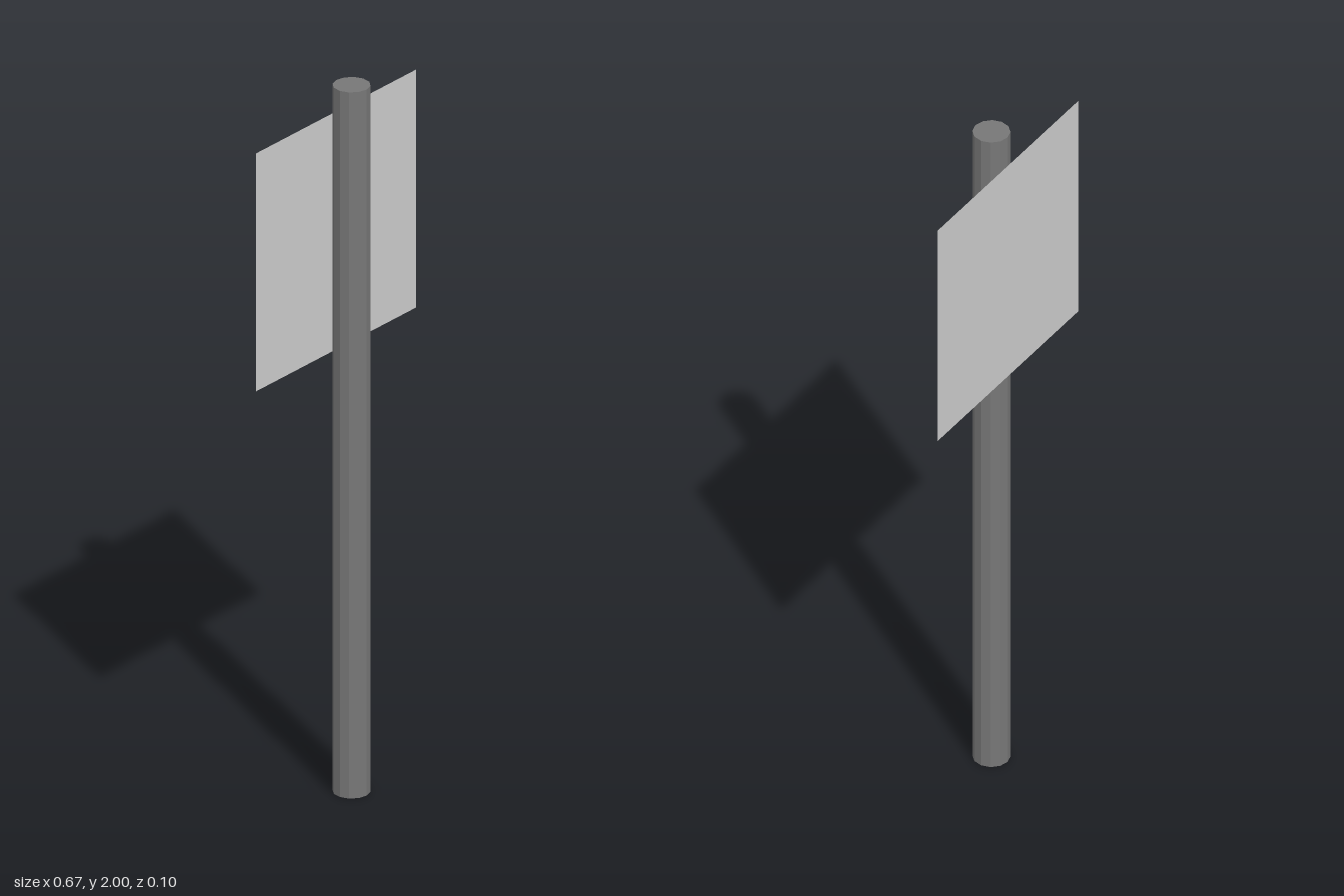
import * as THREE from 'three';

export function createModel() {
  const poleMetal = new THREE.MeshStandardMaterial({ color: 0x777777, side: THREE.DoubleSide, flatShading: true });
  poleMetal.name = 'pole metal';
  const signGrey = new THREE.MeshStandardMaterial({ color: 0xcccccc, side: THREE.DoubleSide });
  signGrey.name = 'sign grey';

  const group = new THREE.Group();
  group.name = 'signPost';
  const add = (name, geometry, material, y, z) => {
    const mesh = new THREE.Mesh(geometry, material);
    mesh.name = name;
    mesh.position.set(0, y, z);
    group.add(mesh);
    return mesh;
  };

  const radius = 0.0495, sides = 12, poleZ = 0.001;

  // Twelve-sided pole, open at the foot
  add('pole', new THREE.CylinderGeometry(radius, radius, 2, sides, 1, true), poleMetal, 1, poleZ);

  // Flat cap closing the top
  add('poleCap', new THREE.CircleGeometry(radius, sides).rotateX(-Math.PI / 2), poleMetal, 2, poleZ);

  // Thin square sign fixed to the back of the pole
  add('signPanel', new THREE.PlaneGeometry(0.674, 0.674), signGrey, 1.573, -0.05);

  return group;
}
